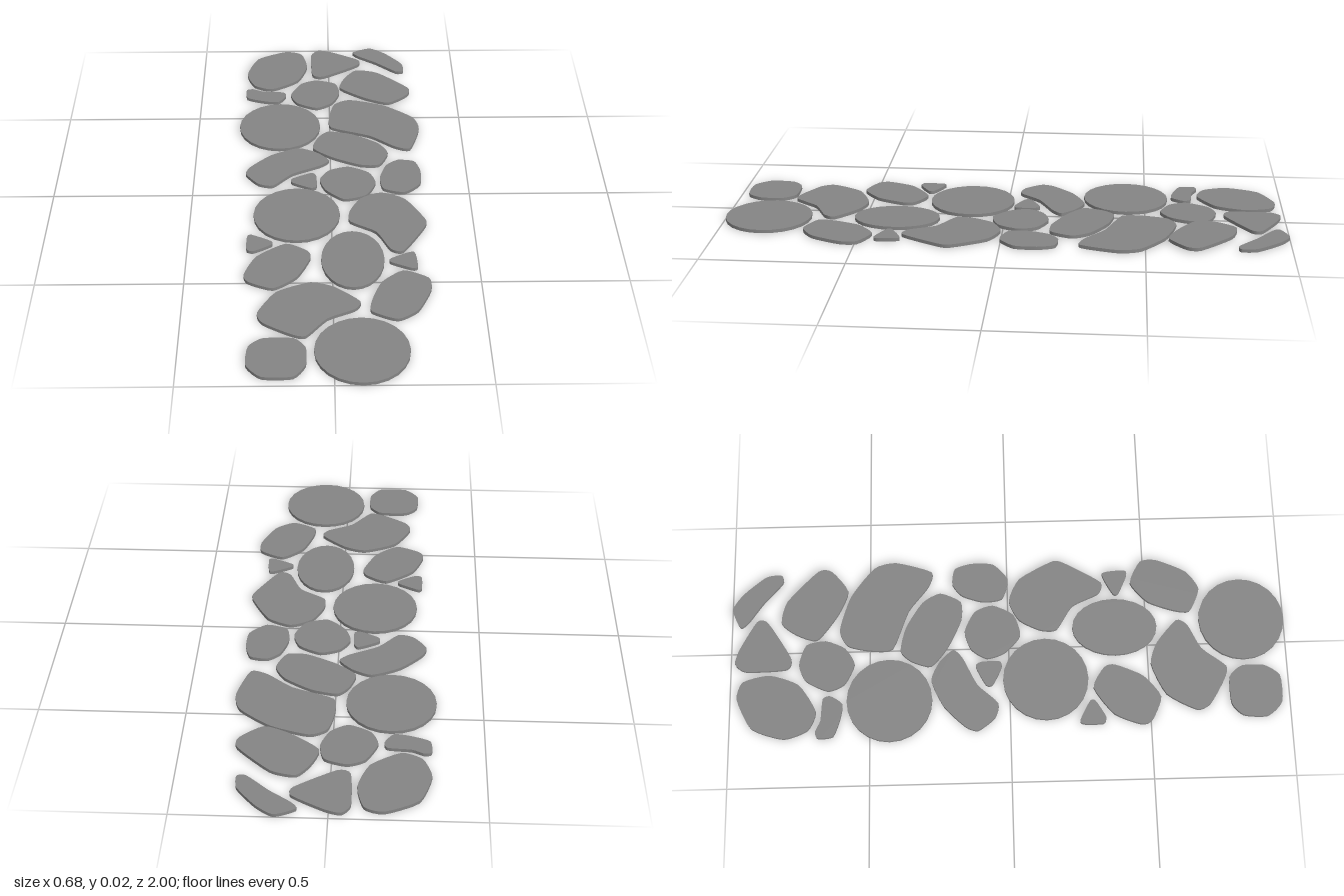
import * as THREE from 'three';
import { toCreasedNormals } from 'three/addons/utils/BufferGeometryUtils.js';

const THICKNESS = 0.012;

export function createModel() {
  const path = new THREE.Group();
  path.name = 'steppingStonePath';
  const material = new THREE.MeshStandardMaterial({ color: 0x858585 });

  // Flat slab raised from a ground-plane outline
  function slab(name, shape, lift = 0) {
    const flat = new THREE.ExtrudeGeometry(shape, { depth: THICKNESS, bevelEnabled: false, curveSegments: 12 });
    flat.rotateX(-Math.PI / 2);
    const mesh = new THREE.Mesh(toCreasedNormals(flat, Math.PI / 5), material);
    mesh.name = name;
    mesh.position.y = lift;
    path.add(mesh);
  }

  // Irregular stone: a tight closed curve through x, z pairs in hundredths
  function stone(name, pairs, lift) {
    const points = [];
    for (let i = 0; i < pairs.length; i += 2) {
      points.push(new THREE.Vector3(pairs[i] / 100, -pairs[i + 1] / 100, 0));
    }
    const curve = new THREE.CatmullRomCurve3(points, true, 'catmullrom', 0.3);
    const outline = curve.getPoints(points.length * 4).slice(0, -1);
    slab(name, new THREE.Shape(outline.map((p) => new THREE.Vector2(p.x, p.y))), lift);
  }

  // Round or oval stone, also in hundredths
  function roundStone(name, x, z, rx, rz = rx) {
    const shape = new THREE.Shape();
    shape.absellipse(x / 100, -z / 100, rx / 100, rz / 100, 0, Math.PI * 2);
    slab(name, shape);
  }

  // Back end of the path
  stone('backOvalStone', [-17.5, -97.5, -11, -95.5, -8.7, -86, -12.5, -75.5, -22.5, -69.2, -29.5, -72, -32.5, -80.5, -28.5, -92]);
  stone('backWedgeStone', [-4, -98.5, 1.5, -97, 12, -91, 11.5, -87, -2, -78.5, -6.5, -80, -7, -94.5]);
  stone('backCornerStone', [10, -97, 17, -100, 23, -96, 29.5, -88, 30, -82.5, 27, -82, 19, -89, 12, -94]);
  stone('backSliverStone', [-32.5, -68.5, -30, -69.3, -26, -67.5, -18, -66.8, -17, -64, -20, -59.8, -25.5, -60.5, -32, -63]);
  stone('backPebble', [-5, -75.5, 2.5, -73, 4, -66, 1, -59, -5, -55.5, -12.5, -59, -15, -65, -11, -73]);
  stone('raisedStone', [11, -82, 19.5, -80, 31, -69, 30.8, -64, 23, -58, 14, -61.5, 4.3, -69, 6.5, -76.5], 0.006);

  // Middle of the path
  roundStone('backRoundStone', -19, -43, 15.3);
  stone('largeBentStone', [8, -61, 21, -57, 32, -48.5, 34, -40.5, 30, -27.5, 24, -29, 15, -36, 0.5, -41.8, 0, -50, 2, -58]);
  stone('middleOvalStone', [-0.5, -39, 8.5, -37, 18, -31, 21.5, -24.5, 18, -17, 11, -17, 0.5, -22, -6.5, -28, -4.5, -35]);
  stone('middleBentStone', [-12, -28, -5, -25, -0.5, -20, -4, -16.5, -14, -11.5, -21, -4.2, -26.5, -5.5, -31, -11.5, -29.5, -16, -22, -23.5]);
  stone('middleChip', [-7, -12, -5.3, -10, -5.2, -3.5, -7.5, -2.7, -14, -6, -14, -8.5]);
  stone('middlePebble', [6.5, -15.8, 14, -12, 16.3, -5.5, 12.5, 2, 4.5, 4.3, -2, -1.5, -4, -8, -0.5, -13.5]);
  stone('middleSideStone', [25, -20, 31, -19, 33, -13, 32.5, -5, 26.5, 0.3, 19, -2, 18, -9, 20.5, -16.5]);
  roundStone('middleRoundStone', -12.3, 13, 15.3);

  // Front end of the path
  stone('frontAngularStone', [18, 0.5, 26.5, 4.5, 33.3, 17, 32, 22, 24.5, 34.3, 20, 33, 15.5, 23.5, 6.5, 17.5, 6.5, 11.5, 10.5, 4]);
  stone('frontRightChip', [-28, 24.8, -21, 28.5, -21, 30.5, -27, 34, -29.5, 33, -29.5, 26]);
  stone('frontSideStone', [-16, 30, -8.5, 34, -7.5, 38, -12, 48, -20, 54, -28.5, 50.5, -30, 46.5, -26, 37]);
  roundStone('frontOvalStone', 7, 38.5, 10.8, 15.3);
  stone('frontLeftChip', [28, 34.8, 29, 43, 27, 43.8, 20, 40.5, 20, 38.5]);
  stone('frontTiltedStone', [24, 45, 32.3, 49, 32.8, 55, 28, 65.5, 21, 70, 12.5, 66, 13, 60, 16.5, 51]);
  stone('frontBentStone', [-7.5, 51, 0.5, 53.5, 9, 61, 7, 65, -2, 69.5, -9, 78, -14, 77, -23, 71.5, -25, 66.5, -19, 56]);
  stone('frontSquareStone', [-23, 79, -13, 79, -9, 83.5, -9, 91.5, -13, 97, -23, 97, -28, 91.5, -27.5, 83]);
  roundStone('frontRoundStone', 9, 84.6, 15.4);

  return path;
}
